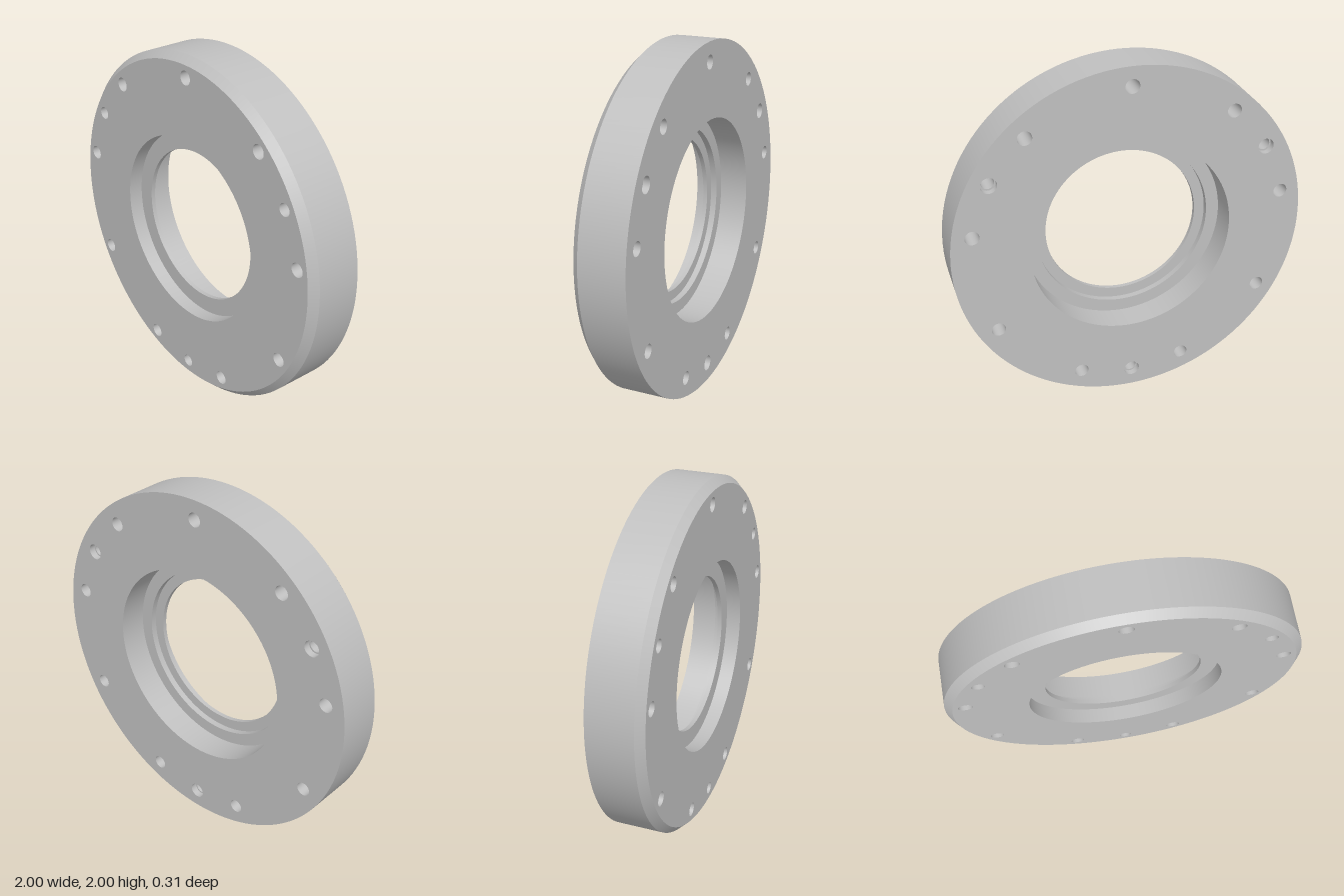
import * as THREE from 'three';
import { mergeGeometries } from 'three/addons/utils/BufferGeometryUtils.js';

export function createModel() {
  const model = new THREE.Group();
  const greyMetal = new THREE.MeshStandardMaterial({ color: 0xbfbfbf });
  const F = 0.153; // half thickness: front face at +F, back face at -F
  const CY = 1; // height of the ring's axis
  const BOLT_CIRCLE = 0.89;

  const add = (name, geometry, x = 0, y = 0) => {
    const mesh = new THREE.Mesh(geometry, greyMetal);
    mesh.name = name;
    mesh.position.set(x, CY + y, 0);
    model.add(mesh);
    return mesh;
  };

  // Turned surface around z from [radius, z] points; every segment keeps crisp edges.
  // Rising z faces outward, falling z faces the axis.
  const turned = (profile, segments) => {
    const bands = [];
    for (let i = 0; i < profile.length - 1; i++) {
      const pair = [profile[i], profile[i + 1]].map(([r, z]) => new THREE.Vector2(r, z));
      bands.push(new THREE.LatheGeometry(pair, segments).rotateX(Math.PI / 2));
    }
    return mergeGeometries(bands);
  };

  const circle = (r, x, y, n) => Array.from({ length: n }, (_, i) => {
    const a = (i / n) * Math.PI * 2;
    return new THREE.Vector2(x + r * Math.cos(a), y + r * Math.sin(a));
  });

  // Nine plain holes at 40 degree steps, three counterbored holes at 120 degree steps
  const holes = [];
  for (let i = 0; i < 9; i++) holes.push({ deg: 90 + i * 40, front: 0.04, back: 0.04 });
  for (let i = 0; i < 3; i++) holes.push({ deg: 30 + i * 120, front: 0.036, back: 0.045 });
  for (const h of holes) {
    const a = THREE.MathUtils.degToRad(h.deg);
    h.x = BOLT_CIRCLE * Math.cos(a);
    h.y = BOLT_CIRCLE * Math.sin(a);
  }

  // Flat ring face pierced by the bore and the bolt holes
  const face = (outer, inner, side) => {
    const shape = new THREE.Shape(circle(outer, 0, 0, 128));
    shape.holes.push(new THREE.Path(circle(inner, 0, 0, 128)));
    for (const h of holes) shape.holes.push(new THREE.Path(circle(h[side], h.x, h.y, 32)));
    return new THREE.ShapeGeometry(shape);
  };

  add('frontFace', face(0.96, 0.54, 'front').translate(0, 0, F));
  // The hole pattern is mirror-symmetric, so the back face can simply be turned round
  add('backFace', face(1, 0.574, 'back').rotateY(Math.PI).translate(0, 0, -F));

  // Rim with a chamfered front edge
  add('outerRim', turned([[1, -F], [1, 0.11], [0.96, F]], 128));

  // Front recess, thin inner lip, small step and deep back recess
  add('steppedBore', turned([
    [0.54, F], [0.54, 0.07], [0.44, 0.07], [0.44, 0.045],
    [0.5, 0.045], [0.5, 0.01], [0.574, 0.01], [0.574, -F],
  ], 128));

  // Walls of the bolt holes
  for (const h of holes) {
    const plain = h.front === h.back;
    const profile = plain
      ? [[h.front, F], [h.front, -F]]
      : [[h.front, F], [h.front, -0.115], [h.back, -0.115], [h.back, -F]];
    add(plain ? 'boltHole' : 'counterboredHole', turned(profile, 32), h.x, h.y);
  }

  return model;
}
